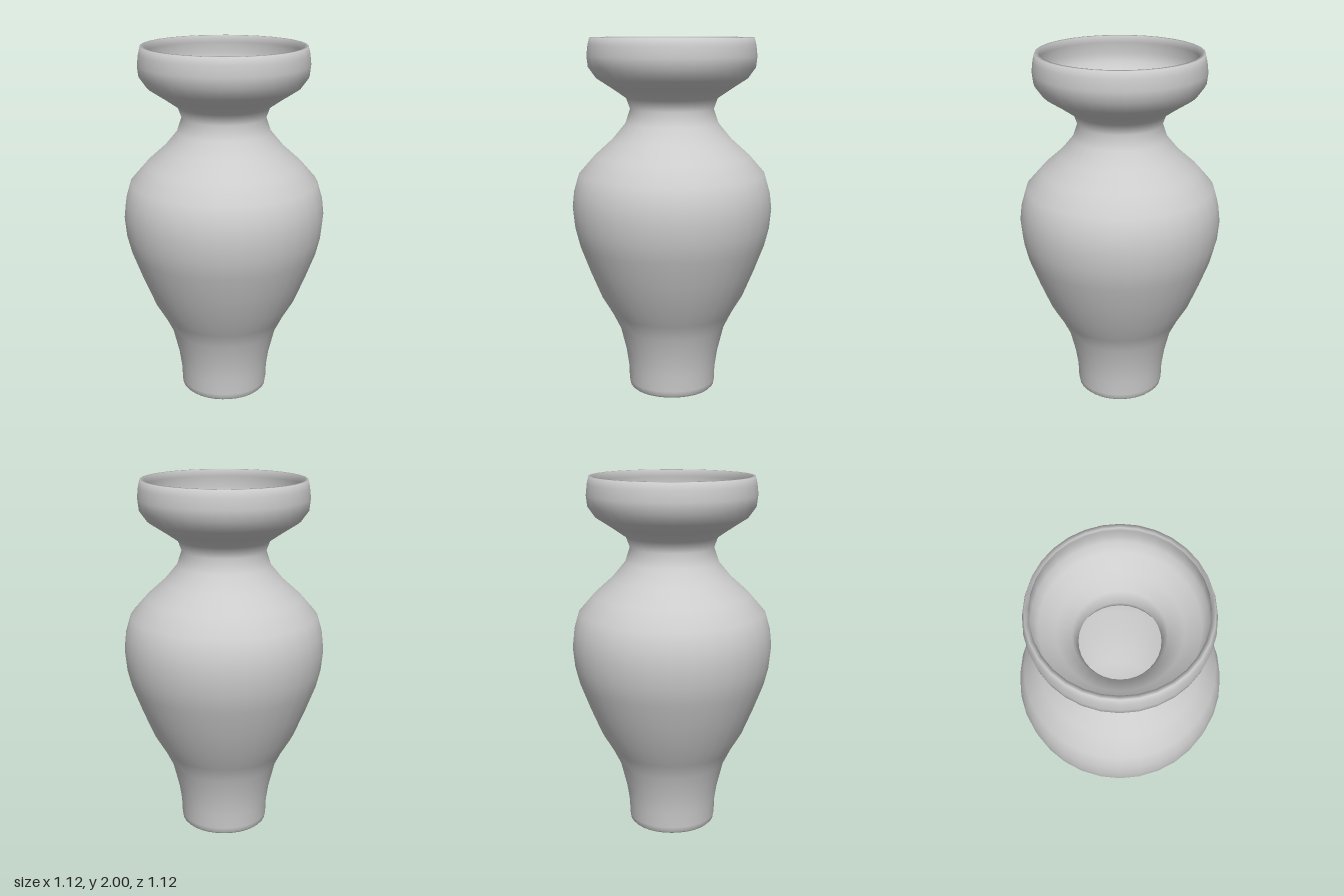
import * as THREE from 'three';

export function createModel() {
  const clay = new THREE.MeshStandardMaterial({ color: 0xcccccc });
  clay.name = 'grey clay';

  // Outer wall as [radius, height], from the foot to the lip
  const outer = [
    [0.23, 0], [0.242, 0.012], [0.247, 0.04], [0.25, 0.12], [0.265, 0.22],
    [0.3, 0.36], [0.345, 0.45], [0.405, 0.55], [0.468, 0.7], [0.525, 0.85],
    [0.55, 0.95], [0.561, 1.06], [0.551, 1.15], [0.522, 1.25], [0.435, 1.35],
    [0.335, 1.44], [0.26, 1.53], [0.233, 1.61], [0.255, 1.67], [0.335, 1.725],
    [0.42, 1.78], [0.463, 1.84], [0.47, 1.9], [0.463, 1.96], [0.453, 2],
  ];

  // Inner wall from the lip back down to the hollow floor
  const inner = [
    [0.432, 2], [0.44, 1.96], [0.446, 1.9], [0.438, 1.85], [0.403, 1.8],
    [0.32, 1.747], [0.24, 1.69], [0.211, 1.61], [0.238, 1.52], [0.315, 1.425],
    [0.415, 1.335], [0.5, 1.24], [0.528, 1.15], [0.537, 1.06], [0.527, 0.95],
    [0.502, 0.86], [0.446, 0.71], [0.384, 0.56], [0.325, 0.46], [0.278, 0.365],
    [0.242, 0.225], [0.226, 0.12], [0.2, 0.05], [0.12, 0.03],
  ];

  const profile = [[0, 0], ...outer, ...inner, [0, 0.025]]
    .map(([r, y]) => new THREE.Vector2(r, y));

  // One continuous thin-walled shell, closed at the foot
  const vase = new THREE.Mesh(new THREE.LatheGeometry(profile, 32), clay);
  vase.name = 'vase';

  const group = new THREE.Group();
  group.name = 'vaseModel';
  group.add(vase);
  return group;
}
